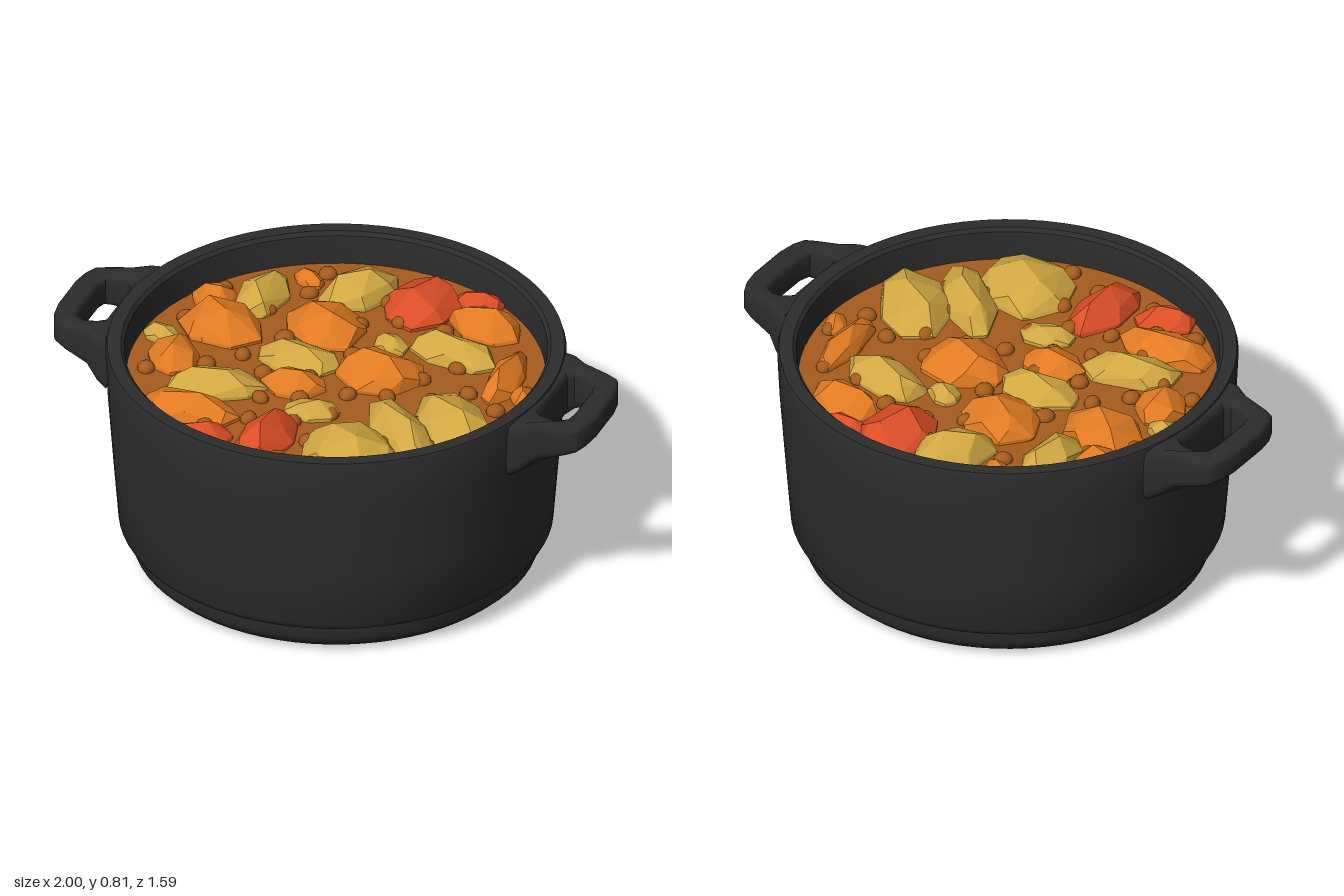
import * as THREE from 'three';
import { toCreasedNormals } from 'three/addons/utils/BufferGeometryUtils.js';
import { ConvexGeometry } from 'three/addons/geometries/ConvexGeometry.js';

const STEW_Y = 0.69;

function material(name, color, options = {}) {
  const m = new THREE.MeshStandardMaterial({ color, ...options });
  m.name = name;
  return m;
}

function seeded(seed) {
  let s = seed;
  return () => (s = (s * 16807) % 2147483647) / 2147483647;
}

function add(parent, name, geometry, mat) {
  const mesh = new THREE.Mesh(geometry, mat);
  mesh.name = name;
  parent.add(mesh);
  return mesh;
}

// Pot wall: outside from the base up, over the rim, then down the inside
function potGeometry() {
  const profile = [
    [0, 0], [0.64, 0], [0.675, 0.012], [0.7, 0.035], [0.71, 0.06], [0.712, 0.1],
    [0.735, 0.112], [0.748, 0.135], [0.765, 0.35], [0.785, 0.62], [0.793, 0.79],
    [0.787, 0.81], [0.74, 0.81], [0.728, 0.797], [0.722, 0.74], [0.72, 0.6],
    [0.69, 0.1], [0, 0.08],
  ].map(([r, y]) => new THREE.Vector2(r, y));
  return toCreasedNormals(new THREE.LatheGeometry(profile, 72), 0.6);
}

// Loop handle: a plate with a hole whose underside rises away from the pot
function handleGeometry() {
  const outline = [
    [0.74, -0.27], [0.79, -0.26], [0.84, -0.225], [0.93, -0.205], [0.97, -0.185],
    [0.99, -0.14], [1, -0.08],
  ];
  const opening = [[0.805, -0.13], [0.825, -0.147], [0.87, -0.145], [0.905, -0.125], [0.915, -0.08]];
  const mirrored = (pts) => [...pts, ...pts.map(([x, z]) => [x, -z]).reverse()]
    .map(([x, z]) => new THREE.Vector2(x, z));
  const shape = new THREE.Shape(mirrored(outline));
  shape.holes.push(new THREE.Path(mirrored(opening)));
  const g = new THREE.ExtrudeGeometry(shape, {
    depth: 0.06, bevelEnabled: true, bevelThickness: 0.02, bevelSize: 0.02,
    bevelOffset: -0.02, bevelSegments: 3,
  });
  g.rotateX(-Math.PI / 2);
  const p = g.attributes.position;
  for (let i = 0; i < p.count; i++) {
    const x = p.getX(i);
    const t = (p.getY(i) + 0.02) / 0.1;
    const bottom = x < 0.84
      ? THREE.MathUtils.mapLinear(x, 0.76, 0.84, 0.605, 0.66)
      : THREE.MathUtils.mapLinear(x, 0.84, 1, 0.66, 0.705);
    const top = x < 0.84 ? 0.805 : 0.795;
    p.setY(i, THREE.MathUtils.lerp(bottom, top, t));
  }
  return toCreasedNormals(g, 0.7);
}

// Roughly cut chunk: irregular footprint, narrower shoulder and an off-centre ridge
function chunkGeometry([x, z, length, width, angle, height], random) {
  const points = [];
  const ring = (count, scale, y, jitter, turn) => {
    for (let i = 0; i < count; i++) {
      const a = ((i + turn + (random() - 0.5) * 0.5) / count) * Math.PI * 2;
      const r = scale * (1 + (random() - 0.5) * jitter);
      points.push(new THREE.Vector3(
        Math.cos(a) * r * length / 2, y * (1 + (random() - 0.5) * 0.2), Math.sin(a) * r * width / 2));
    }
  };
  ring(7, 1.06, -0.04, 0.12, 0);
  ring(7, 1.06, 0.012, 0.12, 0);
  ring(5, 0.8, height * 0.55, 0.25, random());
  const shift = (random() - 0.5) * width * 0.3;
  points.push(new THREE.Vector3(-length * 0.24, height * 0.88, shift));
  points.push(new THREE.Vector3(length * 0.12, height, -shift * 0.6));
  const g = new ConvexGeometry(points);
  g.rotateY(-angle);
  g.translate(x, STEW_Y, z);
  return g;
}

// Each chunk: x, z, length, width, turn from +x towards +z, height
const POTATOES = [
  [-0.12, -0.51, 0.3, 0.22, -0.9, 0.1], [-0.42, -0.36, 0.29, 0.17, 1.6, 0.09],
  [0.33, -0.26, 0.34, 0.18, 0.15, 0.08], [-0.15, -0.03, 0.29, 0.19, 0, 0.07],
  [-0.35, 0.24, 0.34, 0.19, -0.4, 0.08], [0.5, 0.17, 0.4, 0.25, 0.85, 0.09],
  [0.36, 0.29, 0.41, 0.18, 0.8, 0.09], [0.24, 0.48, 0.36, 0.32, 0.6, 0.1],
  [0.02, 0.27, 0.19, 0.13, -0.3, 0.05], [0.11, -0.23, 0.13, 0.1, 0.5, 0.05],
  [-0.65, 0, 0.13, 0.1, 0.3, 0.05],
];
const CARROTS = [
  [-0.48, -0.13, 0.32, 0.24, 0.3, 0.1], [-0.56, -0.28, 0.17, 0.15, 0.4, 0.07],
  [-0.14, -0.25, 0.3, 0.25, 0.7, 0.09], [0.15, -0.04, 0.3, 0.26, 0, 0.1],
  [0.37, -0.46, 0.28, 0.18, 0.2, 0.09], [-0.1, 0.13, 0.22, 0.17, 0, 0.07],
  [-0.55, 0.12, 0.22, 0.17, 1.2, 0.08], [-0.38, 0.42, 0.35, 0.18, 0, 0.08],
  [0.56, -0.17, 0.32, 0.12, 1.5, 0.08], [0.66, -0.08, 0.11, 0.08, 1, 0.05],
  [-0.31, -0.52, 0.12, 0.08, 0.6, 0.05],
];
const PEPPERS = [
  [0.11, -0.51, 0.32, 0.26, 1.5, 0.1], [0.29, -0.59, 0.18, 0.11, -0.2, 0.06],
  [-0.06, 0.5, 0.33, 0.18, 1.7, 0.1], [-0.27, 0.57, 0.21, 0.14, -0.4, 0.07],
];

export function createModel() {
  const iron = material('black iron', 0x2c2c2c);
  const sauce = material('brown sauce', 0xa65c1e);
  const potato = material('yellow potato', 0xd0a741);
  const carrot = material('orange carrot', 0xe07a22);
  const pepper = material('red pepper', 0xdc4e26);
  for (const m of [potato, carrot, pepper]) m.flatShading = true;

  const model = new THREE.Group();
  model.name = 'potOfStew';
  add(model, 'pot', potGeometry(), iron);

  // Matching handles
  const handle = handleGeometry();
  add(model, 'leftHandle', handle, iron);
  add(model, 'rightHandle', handle, iron).rotation.y = Math.PI;

  // Sauce surface
  const surface = new THREE.CircleGeometry(0.722, 72).rotateX(-Math.PI / 2);
  add(model, 'sauce', surface, sauce).position.y = STEW_Y;

  // Vegetables
  const random = seeded(4217);
  const vegetables = [['potato', POTATOES, potato], ['carrot', CARROTS, carrot], ['pepper', PEPPERS, pepper]];
  for (const [name, list, mat] of vegetables) {
    const group = new THREE.Group();
    group.name = name + 'Chunks';
    list.forEach((c, i) => add(group, name + (i + 1), chunkGeometry(c, random), mat));
    model.add(group);
  }

  // Beans half sunk in the sauce, spread in a spiral
  const beans = new THREE.Group();
  beans.name = 'beans';
  const bean = new THREE.SphereGeometry(0.034, 12, 8);
  for (let i = 0; i < 70; i++) {
    const r = 0.68 * Math.sqrt((i + 0.5) / 70);
    const a = i * 2.39996;
    const mesh = add(beans, 'bean' + (i + 1), bean, sauce);
    mesh.position.set(Math.cos(a) * r, STEW_Y + 0.004, Math.sin(a) * r);
    mesh.scale.set(1, 0.8, 0.8 + random() * 0.3);
    mesh.rotation.y = random() * 3;
  }
  model.add(beans);
  return model;
}
